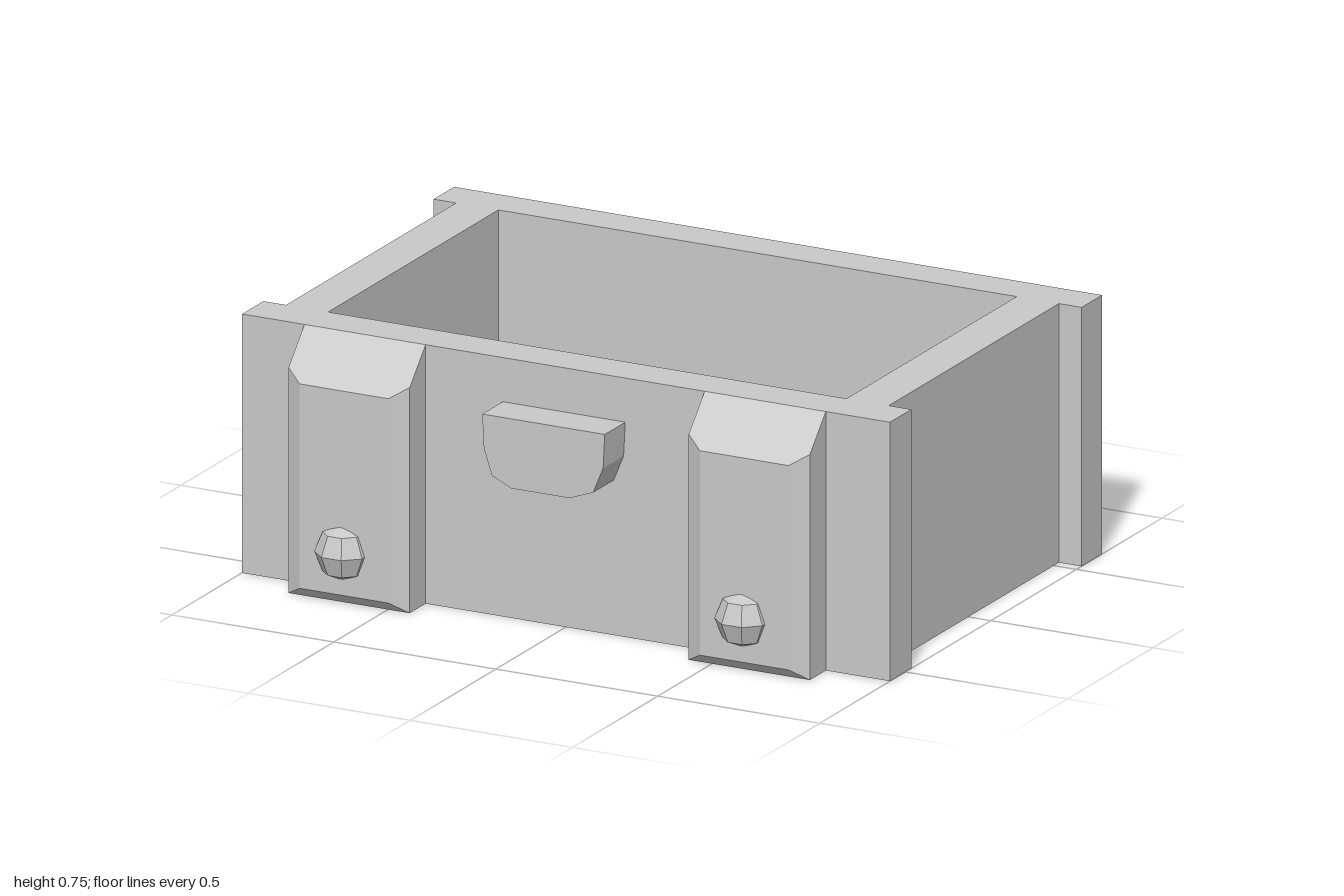
import * as THREE from 'three';
import { ConvexGeometry } from 'three/addons/geometries/ConvexGeometry.js';

const FRONT = 0.59, BACK = -0.65, HEIGHT = 0.745;

export function createModel() {
  const group = new THREE.Group();
  const grey = new THREE.MeshStandardMaterial({ color: 0xc8c8c8, flatShading: true });
  grey.name = 'grey';

  const add = (name, geometry, x = 0, y = 0, z = 0, turn = 0) => {
    const mesh = new THREE.Mesh(geometry, grey);
    mesh.name = name;
    mesh.position.set(x, y, z);
    mesh.rotation.y = turn;
    group.add(mesh);
    return mesh;
  };
  const points = list => list.map(([x, y]) => new THREE.Vector2(x, y));

  // Walls: plan outline with wider front and back boards, open in the middle
  const plan = new THREE.Shape(points([
    [-1, -FRONT], [1, -FRONT], [1, -0.465], [0.93, -0.465],
    [0.93, 0.53], [1, 0.53], [1, -BACK], [-1, -BACK],
    [-1, 0.53], [-0.93, 0.53], [-0.93, -0.465], [-1, -0.465],
  ]));
  plan.holes.push(new THREE.Path(points([
    [-0.8, -0.465], [-0.8, 0.53], [0.8, 0.53], [0.8, -0.465],
  ])));
  const walls = new THREE.ExtrudeGeometry(plan, { depth: HEIGHT, bevelEnabled: false });
  add('walls', walls.rotateX(-Math.PI / 2));

  // Floor inside the walls
  add('floor', new THREE.BoxGeometry(1.6, 0.08, 0.995), 0, 0.04, -0.0325);

  // Straps: bevelled blocks with a sloping top
  const corners = [];
  for (const s of [-1, 1]) {
    for (const [x, y, z] of [
      [0.187, 0, 0], [0.187, HEIGHT, 0],
      [0.187, 0, 0.093], [0.187, 0.649, 0.093],
      [0.137, 0.03, 0.123], [0.137, 0.618, 0.123],
    ]) corners.push(new THREE.Vector3(s * x, y, z));
  }
  const strap = new ConvexGeometry(corners);

  // Rivets: faceted studs with a flat facet facing forward
  const rivet = new THREE.SphereGeometry(0.08, 8, 4);
  rivet.rotateY(Math.PI / 8).scale(1, 1, 0.93);

  for (const [side, x] of [['right', -0.62], ['left', 0.615]]) {
    add(side + 'FrontStrap', strap, x, 0, FRONT);
    add(side + 'BackStrap', strap, x, 0, BACK, Math.PI);
    add(side + 'Rivet', rivet, x - 0.01, 0.15, 0.7);
  }

  // Front handle: block with a rounded lower edge
  const grip = new THREE.Shape(points([
    [-0.195, 0.618], [-0.19, 0.52], [-0.165, 0.445], [-0.105, 0.418],
    [0.075, 0.418], [0.147, 0.445], [0.178, 0.52], [0.183, 0.618],
  ]));
  add('handle', new THREE.ExtrudeGeometry(grip, { depth: 0.12, bevelEnabled: false }), 0, 0, FRONT);

  return group;
}
